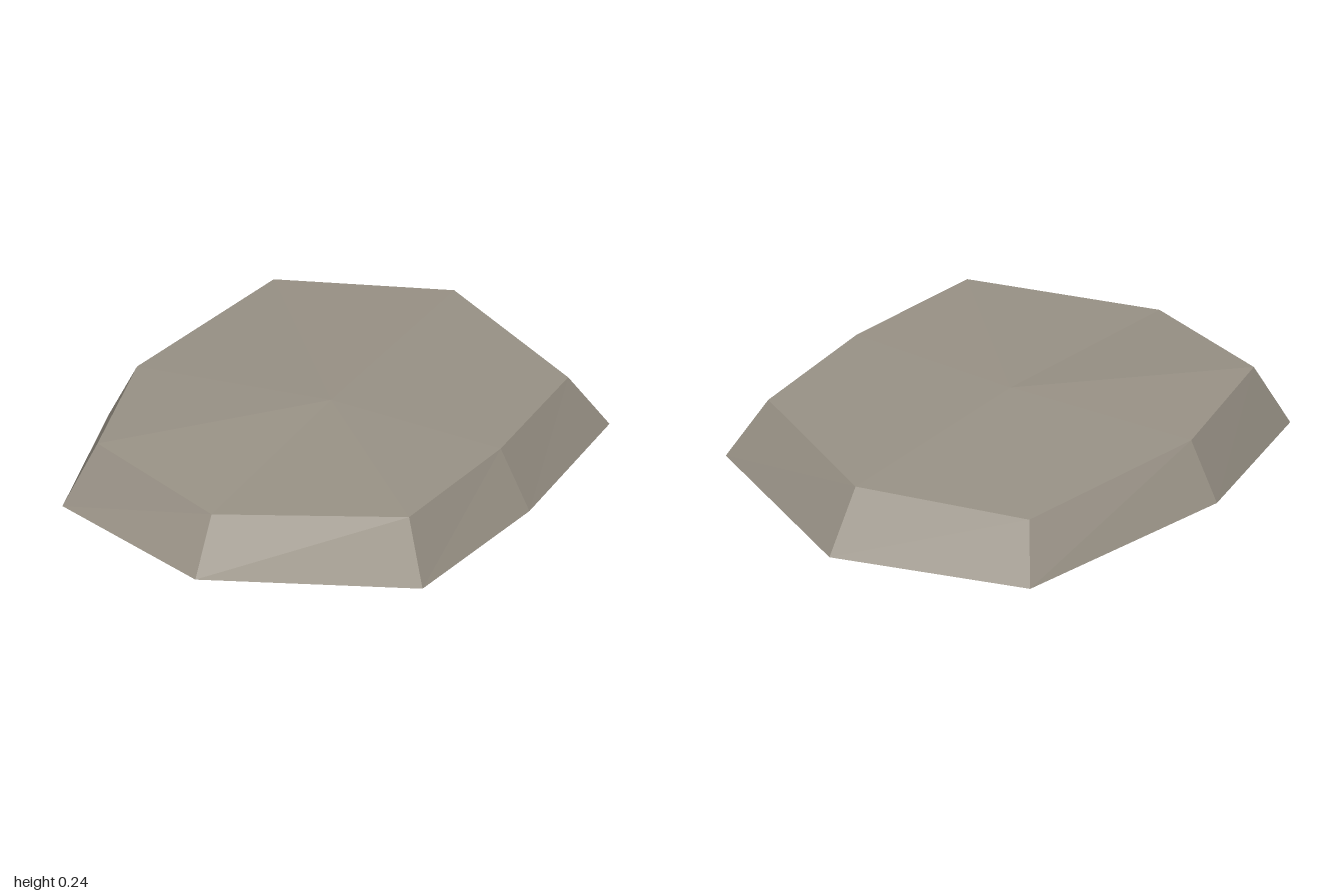
import * as THREE from 'three';

// Corners going round the slab: foot x, foot z, rim x, rim y, rim z
const corners = [
  [1.0, 0.14, 0.85, 0.217, 0.13],
  [0.76, -0.64, 0.65, 0.22, -0.54],
  [0.1, -0.98, 0.08, 0.2, -0.84],
  [-0.65, -0.48, -0.57, 0.222, -0.41],
  [-1.0, 0.05, -0.87, 0.235, 0.05],
  [-0.71, 0.66, -0.62, 0.2, 0.57],
  [0.03, 0.97, 0.02, 0.228, 0.85],
  [0.55, 0.6, 0.47, 0.228, 0.52],
];
const crown = [0, 0.238, 0.04];

const foot = ([x, z]) => [x, 0, z];
const rim = ([, , x, y, z]) => [x, y, z];

// Builds one mesh from the triangles made between each pair of neighbouring corners
function ring(name, material, trianglesBetween) {
  const positions = corners.flatMap((a, i) =>
    trianglesBetween(a, corners[(i + 1) % corners.length]).flat());
  const geometry = new THREE.BufferGeometry();
  geometry.setAttribute('position', new THREE.Float32BufferAttribute(positions, 3));
  geometry.computeVertexNormals();
  const mesh = new THREE.Mesh(geometry, material);
  mesh.name = name;
  return mesh;
}

export function createModel() {
  const stone = new THREE.MeshStandardMaterial({ color: 0x9a9387, flatShading: true, side: THREE.DoubleSide });
  stone.name = 'stone';

  const slab = new THREE.Group();
  slab.name = 'stoneSlab';
  // Shallow faceted top, and sloping sides left open underneath
  slab.add(ring('slabTop', stone, (a, b) => [crown, rim(a), rim(b)]));
  slab.add(ring('slabSides', stone, (a, b) => [
    foot(a), foot(b), rim(b),
    foot(a), rim(b), rim(a),
  ]));
  return slab;
}
